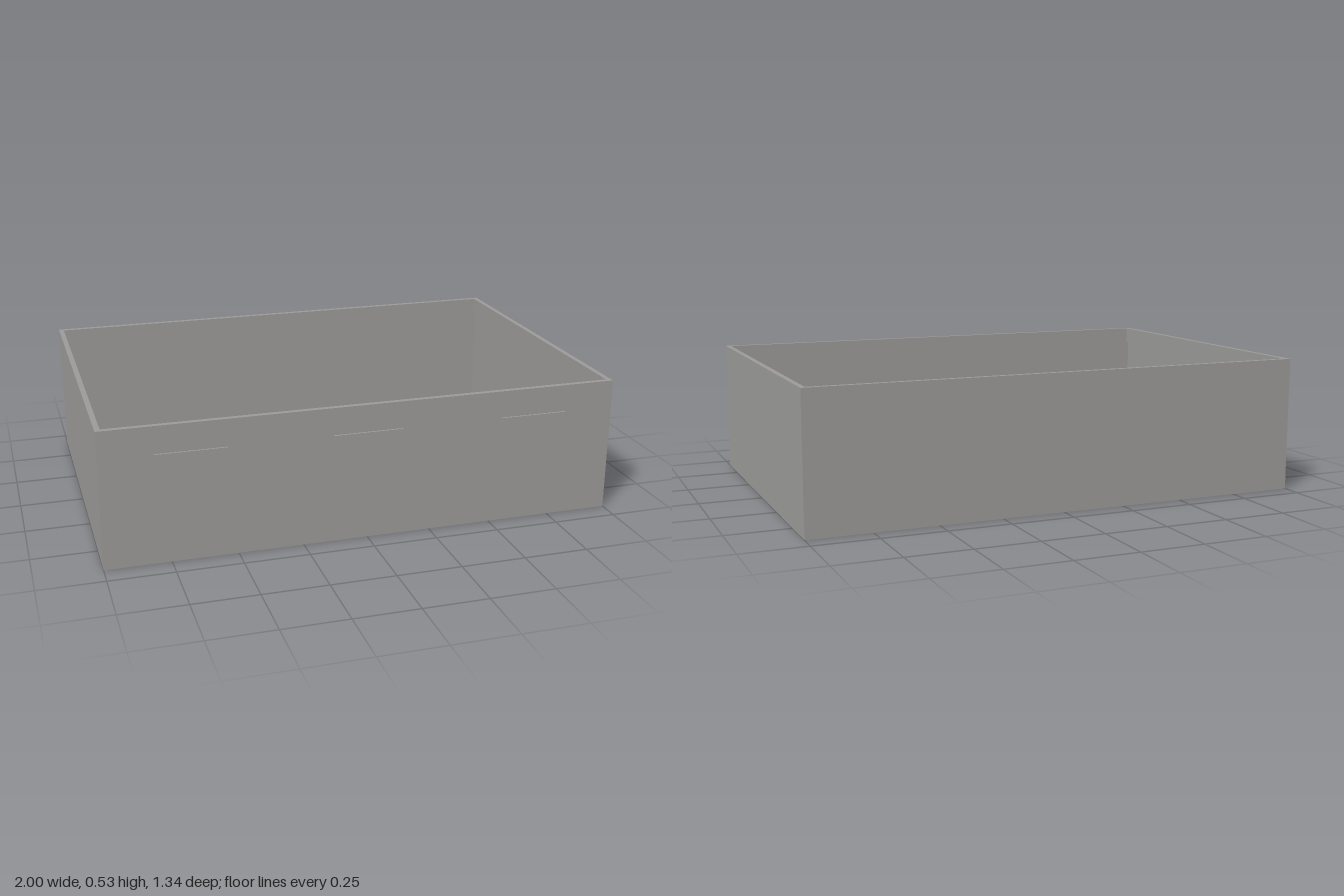
import * as THREE from 'three';

const W = 2, H = 0.533, LIP = 0.067, T = 0.02;
const BACK = -0.67, FRONT = 0.663;
const D = FRONT - BACK, MID = (FRONT + BACK) / 2;

export function createModel() {
  const model = new THREE.Group();
  model.name = 'openFrame';
  const grey = new THREE.MeshStandardMaterial({ color: 0x9b9a98, side: THREE.DoubleSide });
  grey.name = 'warm grey';

  const add = (name, geometry, x, y, z) => {
    const mesh = new THREE.Mesh(geometry, grey);
    mesh.name = name;
    mesh.position.set(x, y, z);
    model.add(mesh);
    return mesh;
  };

  // Thin sheet walls below the rim
  const wallH = H - LIP;
  const walls = [
    ['frontWall', W, 0, FRONT, 0],
    ['backWall', W, 0, BACK, Math.PI],
    ['leftWall', D, W / 2, MID, Math.PI / 2],
    ['rightWall', D, -W / 2, MID, -Math.PI / 2],
  ];
  for (const [name, width, x, z, turn] of walls) {
    add(name, new THREE.PlaneGeometry(width, wallH), x, wallH / 2, z).rotation.y = turn;
  }

  // Thickened rim around the top
  const rectangle = (target, w, d) => target
    .moveTo(-w / 2, -d / 2).lineTo(w / 2, -d / 2)
    .lineTo(w / 2, d / 2).lineTo(-w / 2, d / 2).closePath();
  const ring = rectangle(new THREE.Shape(), W, D);
  ring.holes.push(rectangle(new THREE.Path(), W - 2 * T, D - 2 * T));
  const rim = new THREE.ExtrudeGeometry(ring, { depth: LIP, bevelEnabled: false });
  rim.rotateX(-Math.PI / 2);
  add('topRim', rim, 0, wallH, MID);

  // Three raised bars on the front
  const barDepth = 0.007;
  for (const x of [-0.667, 0, 0.667]) {
    add('frontBar', new THREE.BoxGeometry(0.267, 0.034, barDepth), x, 0.41, FRONT + barDepth / 2);
  }
  return model;
}
